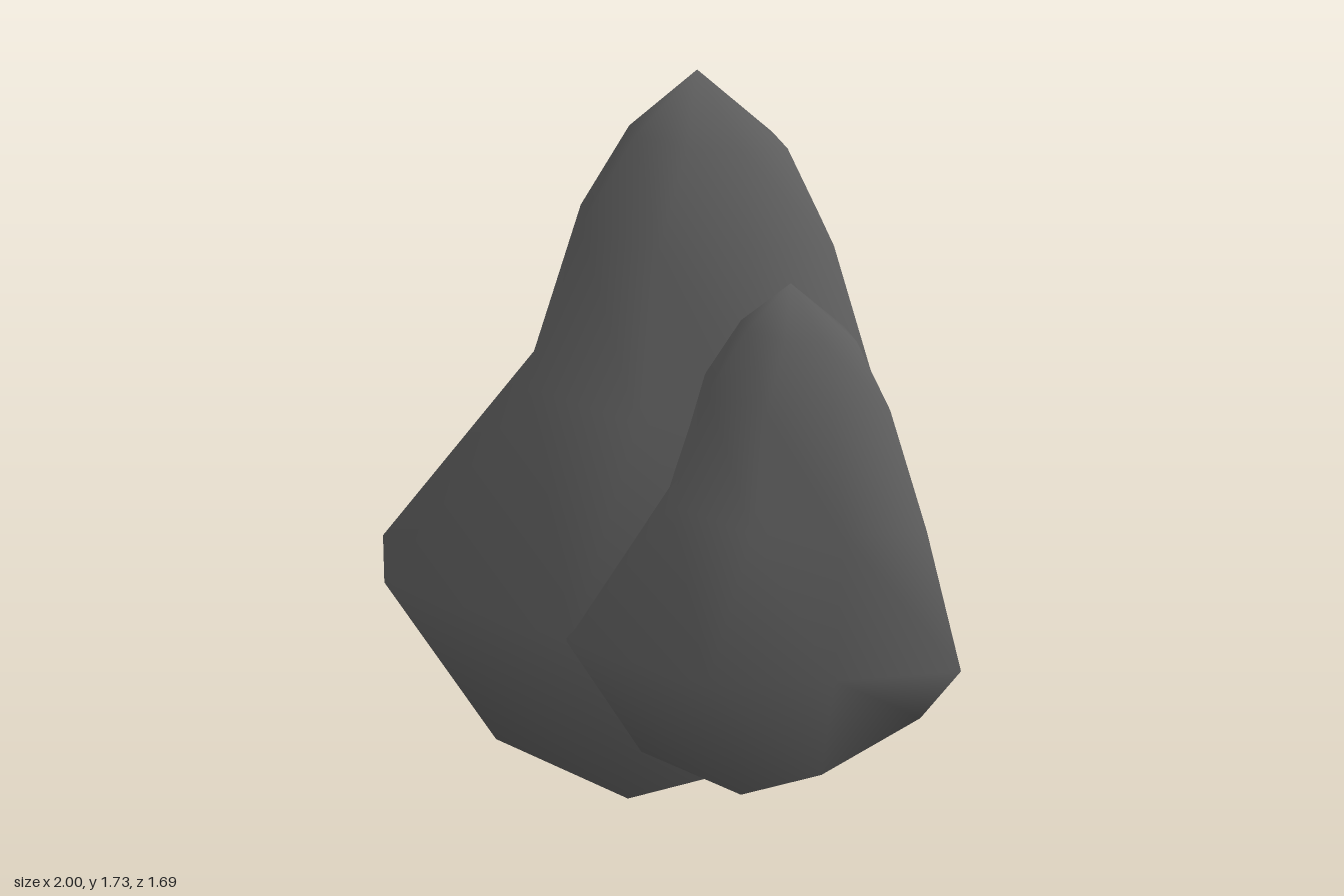
import * as THREE from 'three';

// Corners of the widest ring and of the underside, in matching order (x, y, z)
const GIRDLE = [
  [-0.7, 0.4, -0.36], [-0.35, 0.38, -0.55], [0.27, 0.42, -0.29], [0.75, 0.52, 0.17],
  [0.39, 0.46, 0.38], [0.19, 0.52, 0.81], [-0.44, 0.52, 0.78], [-0.7, 0.52, 0.52],
];
const UNDERSIDE = [
  [-0.55, 0.01, -0.25], [-0.1, 0.1, -0.22], [0.27, 0.165, -0.2], [0.5, 0.25, 0.04],
  [0.3, 0.08, 0.33], [0.08, 0, 0.49], [-0.4, 0.02, 0.44], [-0.5, 0.035, 0.37],
];
const APEX = [0, 1.73, 0.12];

// Rounded outline of the upper rings, fitted to a box of -1..1
const OUTLINE = [
  [-1, -0.42], [-0.4, -1], [0.36, -0.68], [1, 0.13],
  [0.64, 0.58], [0.2, 1], [-0.58, 0.82], [-1, 0.25],
];
// Upper rings: height, x range, z range
const UPPER = [
  [0.98, -0.45, 0.6, -0.35, 0.56],
  [1.37, -0.31, 0.44, -0.2, 0.43],
  [1.58, -0.175, 0.295, -0.04, 0.29],
];

function boulderGeometry() {
  const n = GIRDLE.length;
  const rings = [UNDERSIDE, GIRDLE];
  for (const [y, x0, x1, z0, z1] of UPPER) {
    rings.push(OUTLINE.map(([u, v]) => [
      (x0 + x1) / 2 + (u * (x1 - x0)) / 2, y, (z0 + z1) / 2 + (v * (z1 - z0)) / 2,
    ]));
  }
  const points = rings.flat();
  const index = [];

  // Sides between neighbouring rings
  for (let r = 0; r < rings.length - 1; r++) {
    for (let i = 0; i < n; i++) {
      const j = (i + 1) % n;
      const a = r * n + i, b = r * n + j;
      index.push(a, a + n, b + n, a, b + n, b);
    }
  }

  // Pointed top
  const apex = points.push(APEX) - 1;
  const top = (rings.length - 1) * n;
  for (let i = 0; i < n; i++) index.push(top + i, apex, top + ((i + 1) % n));

  // Underside, fanned out from its highest corner and sharing the rim
  const high = 3;
  for (let k = 1; k < n - 1; k++) index.push(high, (high + k) % n, (high + k + 1) % n);

  const geometry = new THREE.BufferGeometry();
  geometry.setAttribute('position', new THREE.Float32BufferAttribute(points.flat(), 3));
  geometry.setIndex(index);
  geometry.computeVertexNormals();
  return geometry;
}

export function createModel() {
  const group = new THREE.Group();
  group.name = 'rockCluster';
  const geometry = boulderGeometry();
  const material = new THREE.MeshStandardMaterial({ color: 0x5e5e5e });

  const addBoulder = (name, position, scale) => {
    const mesh = new THREE.Mesh(geometry, material);
    mesh.name = name;
    mesh.position.set(...position);
    mesh.scale.set(...scale);
    group.add(mesh);
  };

  // One tall boulder flanked by two smaller copies
  const small = [0.685, 0.668, 0.67];
  addBoulder('mainBoulder', [0, 0, 0], [1, 1, 1]);
  addBoulder('leftBoulder', [0.487, 0.175, 0.3], small);
  addBoulder('rightBoulder', [-0.52, 0.175, -0.475], small);
  return group;
}
